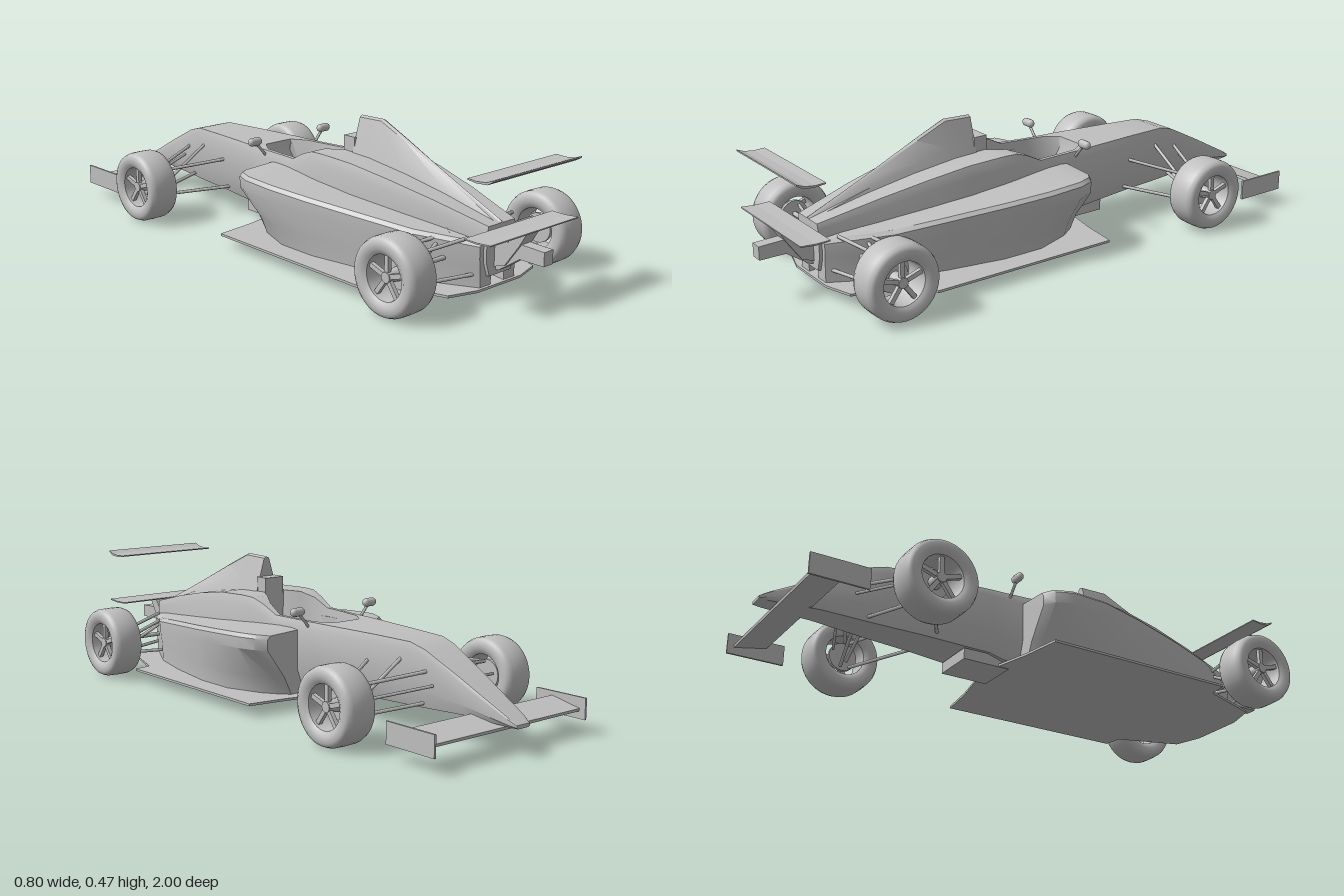
import * as THREE from 'three';
import { toCreasedNormals } from 'three/addons/utils/BufferGeometryUtils.js';

const paint = new THREE.MeshStandardMaterial({ color: 0xc0c0c0, side: THREE.DoubleSide });
paint.name = 'plain grey';

const V = (x, y, z) => new THREE.Vector3(x, y, z);

function part(parent, name, geometry, x = 0, y = 0, z = 0) {
  const mesh = new THREE.Mesh(geometry, paint);
  mesh.name = name;
  mesh.position.set(x, y, z);
  parent.add(mesh);
  return mesh;
}

function box(parent, name, w, h, d, x, y, z) {
  return part(parent, name, new THREE.BoxGeometry(w, h, d), x, y, z);
}

// Skins closed rings of [x, y, z], ordered towards +z, and caps both ends
function loft(rings, crease = 0.6) {
  const n = rings[0].length, index = [];
  const last = (rings.length - 1) * n;
  for (let i = 0; i < rings.length - 1; i++) {
    for (let j = 0; j < n; j++) {
      const a = i * n + j, b = i * n + (j + 1) % n;
      index.push(a, b, b + n, a, b + n, a + n);
    }
  }
  for (let j = 1; j < n - 1; j++) {
    index.push(0, j + 1, j, last, last + j, last + j + 1);
  }
  const g = new THREE.BufferGeometry();
  g.setAttribute('position', new THREE.Float32BufferAttribute(rings.flat(2), 3));
  g.setIndex(index);
  return toCreasedNormals(g, crease);
}

// Mirrors a half section that runs from bottom centre to top centre
function fullRing(half, z) {
  const other = half.slice(1, -1).reverse().map(([x, y]) => [-x, y]);
  return [...half, ...other].map(([x, y]) => [x, y, z]);
}

function rod(parent, name, a, b, r) {
  const dir = b.clone().sub(a);
  const mesh = part(parent, name, new THREE.CylinderGeometry(r, r, dir.length(), 8));
  mesh.position.copy(a).add(b).multiplyScalar(0.5);
  mesh.quaternion.setFromUnitVectors(V(0, 1, 0), dir.normalize());
}

// Side profile of [z, y] points, extruded across x
function sidePlate(points, width) {
  const shape = new THREE.Shape(points.map(([z, y]) => new THREE.Vector2(-z, y)));
  const g = new THREE.ExtrudeGeometry(shape, { depth: width, bevelEnabled: false });
  return g.translate(0, 0, -width / 2).rotateY(Math.PI / 2);
}

function makeWheel(name) {
  const wheel = new THREE.Group();
  wheel.name = name;
  const profile = [[0.076, -0.05], [0.09, -0.057], [0.108, -0.057], [0.119, -0.051], [0.125, -0.036],
    [0.126, 0], [0.125, 0.036], [0.119, 0.051], [0.108, 0.057], [0.09, 0.057], [0.078, 0.05],
    [0.072, 0.046], [0.07, 0.02], [0.07, -0.045], [0.076, -0.05]];
  const tyre = new THREE.LatheGeometry(profile.map(([r, y]) => new THREE.Vector2(r, y)), 40);
  part(wheel, 'tyre', toCreasedNormals(tyre.rotateZ(-Math.PI / 2), 0.7));
  part(wheel, 'hub', new THREE.CylinderGeometry(0.017, 0.022, 0.05, 16).rotateZ(-Math.PI / 2), 0.015);
  part(wheel, 'brakeDisc', new THREE.CylinderGeometry(0.05, 0.05, 0.012, 24).rotateZ(Math.PI / 2), -0.02);
  for (let i = 0; i < 5; i++) {
    const spoke = new THREE.BoxGeometry(0.014, 0.062, 0.015).translate(0, 0.042, 0);
    part(wheel, 'spoke', spoke.rotateX(i * Math.PI * 0.4), 0.03);
  }
  return wheel;
}

export function createModel() {
  const car = new THREE.Group();
  car.name = 'racingCar';

  // Nose, cockpit tub and rear body: z, half widths, bottom, top, opening half width, opening floor
  const tub = [
    [-1, 0.022, 0.028, 0.088, 0.1, 0.015, 0.1],
    [-0.97, 0.03, 0.037, 0.089, 0.118, 0.02, 0.118],
    [-0.8, 0.045, 0.056, 0.095, 0.206, 0.03, 0.206],
    [-0.66, 0.055, 0.072, 0.09, 0.275, 0.04, 0.275],
    [-0.6, 0.06, 0.078, 0.088, 0.292, 0.04, 0.292],
    [-0.45, 0.07, 0.092, 0.085, 0.295, 0.05, 0.295],
    [-0.225, 0.085, 0.115, 0.075, 0.297, 0.06, 0.297],
    [-0.22, 0.085, 0.115, 0.075, 0.297, 0.06, 0.26],
    [-0.17, 0.09, 0.119, 0.06, 0.297, 0.092, 0.14],
    [-0.1, 0.1, 0.124, 0.05, 0.298, 0.1, 0.12],
    [0, 0.12, 0.135, 0.045, 0.3, 0.107, 0.11],
    [0.06, 0.13, 0.143, 0.045, 0.33, 0.1, 0.13],
    [0.11, 0.135, 0.15, 0.045, 0.348, 0.075, 0.17],
    [0.165, 0.14, 0.152, 0.045, 0.35, 0.045, 0.21],
    [0.17, 0.14, 0.152, 0.045, 0.35, 0.045, 0.35],
    [0.3, 0.14, 0.15, 0.045, 0.345, 0.045, 0.345],
    [0.45, 0.12, 0.133, 0.045, 0.322, 0.04, 0.322],
    [0.62, 0.09, 0.105, 0.05, 0.288, 0.03, 0.288],
    [0.82, 0.05, 0.066, 0.08, 0.24, 0.02, 0.24],
  ].map(([z, wb, wt, yb, yt, wi, yi]) => {
    const h = yt - yb;
    return fullRing([[0, yb], [wb, yb], [wt, yb + 0.3 * h], [wt, yt - 0.12 * h], [wt * 0.92, yt],
      [wi, yt], [wi * 0.85, yi], [0, yi]], z);
  });
  part(car, 'tub', loft(tub));

  // Air intake and tapering spine: z, base half width, base, shoulder, top
  const spine = [
    [0.21, 0.05, 0.33, 0.38, 0.47], [0.31, 0.05, 0.33, 0.38, 0.473], [0.42, 0.044, 0.31, 0.355, 0.425],
    [0.6, 0.034, 0.27, 0.305, 0.342], [0.82, 0.022, 0.22, 0.236, 0.245],
  ].map(([z, w, yb, ys, yt]) => fullRing([[0, yb], [w, yb], [w * 0.72, ys], [w * 0.22, yt - 0.006], [0, yt]], z));
  part(car, 'engineCoverSpine', loft(spine));
  box(car, 'headrest', 0.08, 0.1, 0.05, 0, 0.35, 0.19);

  // Sidepods, undercut at the front: z, outer top x, top y, bottom x, inner x
  const pod = [
    [-0.115, 0.25, 0.258, 0.15, 0.1], [-0.09, 0.285, 0.262, 0.175, 0.1], [-0.03, 0.308, 0.263, 0.215, 0.1],
    [0.1, 0.31, 0.258, 0.26, 0.1], [0.25, 0.285, 0.246, 0.26, 0.1], [0.45, 0.238, 0.228, 0.225, 0.08],
    [0.62, 0.19, 0.21, 0.18, 0.06], [0.81, 0.085, 0.19, 0.08, 0.03],
  ].map(([z, xt, yt, xb, xi]) => [[xi, 0.045, z], [xb, 0.045, z], [xb + (xt - xb) * 0.3, 0.11, z],
    [xt, yt - 0.05, z], [xt, yt - 0.012, z], [xt - 0.012, yt, z], [xi, yt + 0.008, z]]);
  const mirroredPod = pod.map(ring => ring.map(([x, y, z]) => [-x, y, z]).reverse());
  part(car, 'leftSidepod', loft(pod));
  part(car, 'rightSidepod', loft(mirroredPod));

  // Flat floor and splitter
  const edge = [[0.07, -0.18], [0.2, -0.15], [0.34, -0.13], [0.34, 0.56], [0.275, 0.57], [0.2, 0.79], [0.1, 0.82]];
  const outline = [...edge, ...edge.slice().reverse().map(([x, z]) => [-x, z])];
  const floorShape = new THREE.Shape(outline.map(([x, z]) => new THREE.Vector2(x, z)));
  part(car, 'floor', new THREE.ExtrudeGeometry(floorShape, { depth: 0.008, bevelEnabled: false })
    .rotateX(Math.PI / 2), 0, 0.047);
  box(car, 'splitter', 0.15, 0.038, 0.17, 0, 0.056, -0.225);

  // Front wing
  box(car, 'frontWing', 0.66, 0.01, 0.112, 0, 0.09, -0.89).rotation.x = -0.2;

  // Rear wings, crash structure and pylon
  part(car, 'upperRearWing', sidePlate([[0.95, 0.437], [0.925, 0.427], [0.89, 0.423], [0.855, 0.425],
    [0.855, 0.421], [0.89, 0.417], [0.93, 0.42], [0.95, 0.432]], 0.41));
  part(car, 'lowerRearWing', sidePlate([[0.95, 0.245], [0.9, 0.241], [0.85, 0.242], [0.85, 0.238],
    [0.9, 0.236], [0.95, 0.241]], 0.41));
  part(car, 'crashStructure', sidePlate([[1, 0.15], [1, 0.195], [0.9, 0.198], [0.81, 0.2], [0.81, 0.095],
    [0.83, 0.095], [0.91, 0.15]], 0.042));
  part(car, 'wingPylon', sidePlate([[0.94, 0.24], [0.9, 0.24], [0.87, 0.195], [0.8, 0.22], [0.8, 0.1],
    [0.86, 0.12], [0.91, 0.19]], 0.058));

  for (const s of [1, -1]) {
    const side = s > 0 ? 'left' : 'right';
    box(car, side + 'FrontWingEndplate', 0.007, 0.07, 0.195, s * 0.33, 0.085, -0.87);

    // Mirrors
    const mirror = part(car, side + 'Mirror', new THREE.CapsuleGeometry(0.015, 0.026, 4, 10).rotateZ(Math.PI / 2),
      s * 0.16, 0.335, -0.16);
    mirror.scale.z = 0.9;
    rod(car, side + 'MirrorStalk', V(s * 0.112, 0.28, -0.16), V(s * 0.155, 0.33, -0.16), 0.005);

    // Wheels
    for (const [end, z] of [['Front', -0.565], ['Rear', 0.71]]) {
      const wheel = makeWheel(side + end + 'Wheel');
      wheel.position.set(s * 0.345, 0.128, z);
      if (s < 0) wheel.rotation.y = Math.PI;
      car.add(wheel);
    }

    // Suspension: outer x y z, inner x y z, radius
    const links = [
      ['frontUpperArm', 0.3, 0.175, -0.57, 0.07, 0.21, -0.67, 0.006],
      ['frontUpperArm', 0.3, 0.175, -0.55, 0.08, 0.21, -0.42, 0.006],
      ['frontLowerArm', 0.3, 0.085, -0.58, 0.06, 0.105, -0.65, 0.006],
      ['frontLowerArm', 0.3, 0.085, -0.55, 0.07, 0.105, -0.41, 0.006],
      ['frontPushrod', 0.29, 0.1, -0.565, 0.07, 0.24, -0.565, 0.006],
      ['frontTrackRod', 0.3, 0.14, -0.61, 0.07, 0.17, -0.7, 0.005],
      ['rearUpperArm', 0.3, 0.165, 0.7, 0.1, 0.2, 0.77, 0.006],
      ['rearUpperArm', 0.3, 0.165, 0.62, 0.1, 0.2, 0.7, 0.006],
      ['rearLowerArm', 0.3, 0.082, 0.72, 0.05, 0.088, 0.8, 0.006],
      ['rearLowerArm', 0.3, 0.082, 0.69, 0.08, 0.088, 0.6, 0.006],
      ['rearPushrod', 0.29, 0.1, 0.71, 0.08, 0.21, 0.68, 0.006],
      ['driveshaft', 0.33, 0.132, 0.71, 0.03, 0.132, 0.71, 0.008],
    ];
    for (const [name, ox, oy, oz, ix, iy, iz, r] of links) {
      rod(car, side + ' ' + name, V(s * ox, oy, oz), V(s * ix, iy, iz), r);
    }
    box(car, side + 'DriveshaftJoint', 0.018, 0.05, 0.04, s * 0.092, 0.132, 0.71);
  }
  return car;
}
